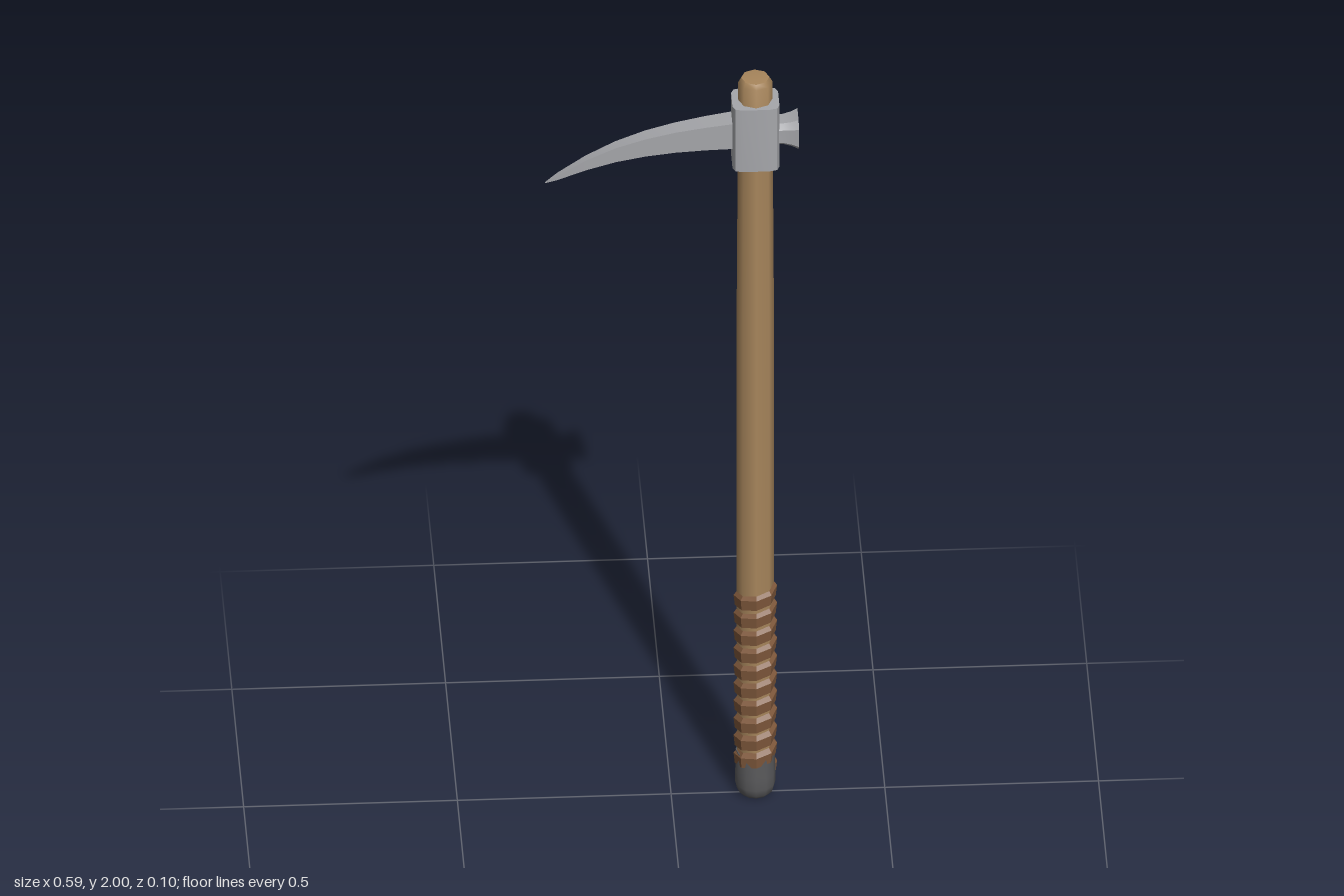
import * as THREE from 'three';
import { toCreasedNormals } from 'three/addons/utils/BufferGeometryUtils.js';

const CX = 0.197; // handle axis

const paint = (color) => new THREE.MeshStandardMaterial({ color });
const wood = paint(0xa8865c), leather = paint(0x80593c), steel = paint(0xa6a7ab), iron = paint(0x5a5a5c);

// Closed loft through equal-length loops that run counter-clockwise around the travel direction
function loft(loops, crease = 0.5) {
  const pos = [], n = loops[0].length;
  const tri = (...pts) => pts.forEach((p) => pos.push(...p));
  for (let i = 0; i < loops.length - 1; i++) {
    for (let j = 0; j < n; j++) {
      const k = (j + 1) % n;
      const a = loops[i][j], b = loops[i][k], c = loops[i + 1][k], d = loops[i + 1][j];
      tri(a, b, c);
      tri(a, c, d);
    }
  }
  const first = loops[0], last = loops[loops.length - 1];
  for (let j = 1; j < n - 1; j++) {
    tri(first[0], first[j + 1], first[j]);
    tri(last[0], last[j], last[j + 1]);
  }
  const g = new THREE.BufferGeometry();
  g.setAttribute('position', new THREE.Float32BufferAttribute(pos, 3));
  return toCreasedNormals(g, crease);
}

function lathe(profile, sides, crease) {
  const g = new THREE.LatheGeometry(profile.map((p) => new THREE.Vector2(...p)), sides);
  return toCreasedNormals(g, crease);
}

export function createModel() {
  const group = new THREE.Group();
  const add = (name, geometry, material, x = 0, y = 0, z = 0) => {
    const mesh = new THREE.Mesh(geometry, material);
    mesh.name = name;
    mesh.position.set(x, y, z);
    group.add(mesh);
  };

  // Eight-sided wooden shaft with a softly bevelled top
  add('handle', lathe([[0, 0.03], [0.042, 0.03], [0.044, 0.6], [0.044, 1.3], [0.041, 1.8],
    [0.04, 1.985], [0.033, 1.997], [0, 2]], 8, 0.9), wood, CX);

  // Rounded metal cap on the lower end
  add('endCap', lathe([[0, 0], [0.034, 0.002], [0.043, 0.012], [0.047, 0.03], [0.047, 0.06],
    [0.046, 0.12], [0.04, 0.12]], 12, 0.9), iron, CX);

  // Leather strip wound up the grip as a helix
  const turns = 10, perTurn = 8, y0 = 0.075, rise = 0.49, strip = [];
  for (let i = 0; i <= turns * perTurn; i++) {
    const t = (i / perTurn) * Math.PI * 2;
    const y = y0 + (rise * i) / (turns * perTurn);
    const section = [[0.041, 0.024], [0.051, 0.011], [0.048, -0.017], [0.039, -0.02]];
    strip.push(section.map(([r, dy]) => [r * Math.cos(t), y + dy, -r * Math.sin(t)]));
  }
  add('gripWrap', loft(strip, 0.6), leather, CX);

  // Head socket: upright block with rounded corners
  const hx = 0.055, hz = 0.048, cx = 0.024, cz = 0.019;
  const outline = new THREE.Shape();
  outline.moveTo(-hx + cx, -hz);
  outline.lineTo(hx - cx, -hz);
  outline.quadraticCurveTo(hx, -hz, hx, -hz + cz);
  outline.lineTo(hx, hz - cz);
  outline.quadraticCurveTo(hx, hz, hx - cx, hz);
  outline.lineTo(-hx + cx, hz);
  outline.quadraticCurveTo(-hx, hz, -hx, hz - cz);
  outline.lineTo(-hx, -hz + cz);
  outline.quadraticCurveTo(-hx, -hz, -hx + cx, -hz);
  const socket = new THREE.ExtrudeGeometry(outline, { depth: 0.172, bevelEnabled: false, curveSegments: 2 });
  socket.rotateX(-Math.PI / 2);
  add('headSocket', toCreasedNormals(socket, 0.5), steel, CX, 1.764);

  // Curved pick blade, tip to root: x, lower y, upper y, half thickness
  const blade = [
    [-0.295, 1.719, 1.721, 0.001], [-0.265, 1.731, 1.743, 0.007], [-0.2, 1.758, 1.785, 0.011],
    [-0.13, 1.781, 1.82, 0.015], [-0.06, 1.797, 1.845, 0.019], [0.01, 1.807, 1.863, 0.022],
    [0.08, 1.813, 1.876, 0.025], [0.16, 1.817, 1.888, 0.028],
  ];
  add('pickBlade', loft(blade.map(([x, lo, hi, w]) =>
    [[x, hi, -w], [x, hi, w], [x, lo, w], [x, lo, -w]])), steel);

  // Flared eight-sided hammer poll: x, half height, half width
  const poll = [[0.235, 0.026, 0.032], [0.262, 0.029, 0.034], [0.28, 0.033, 0.038], [0.297, 0.04, 0.043]];
  add('hammerPoll', loft(poll.map(([x, h, w]) =>
    [[1, -0.6], [1, 0.6], [0.6, 1], [-0.6, 1], [-1, 0.6], [-1, -0.6], [-0.6, -1], [0.6, -1]]
      .map(([a, b]) => [x, 1.85 + a * h, b * w]))), steel);

  return group;
}
